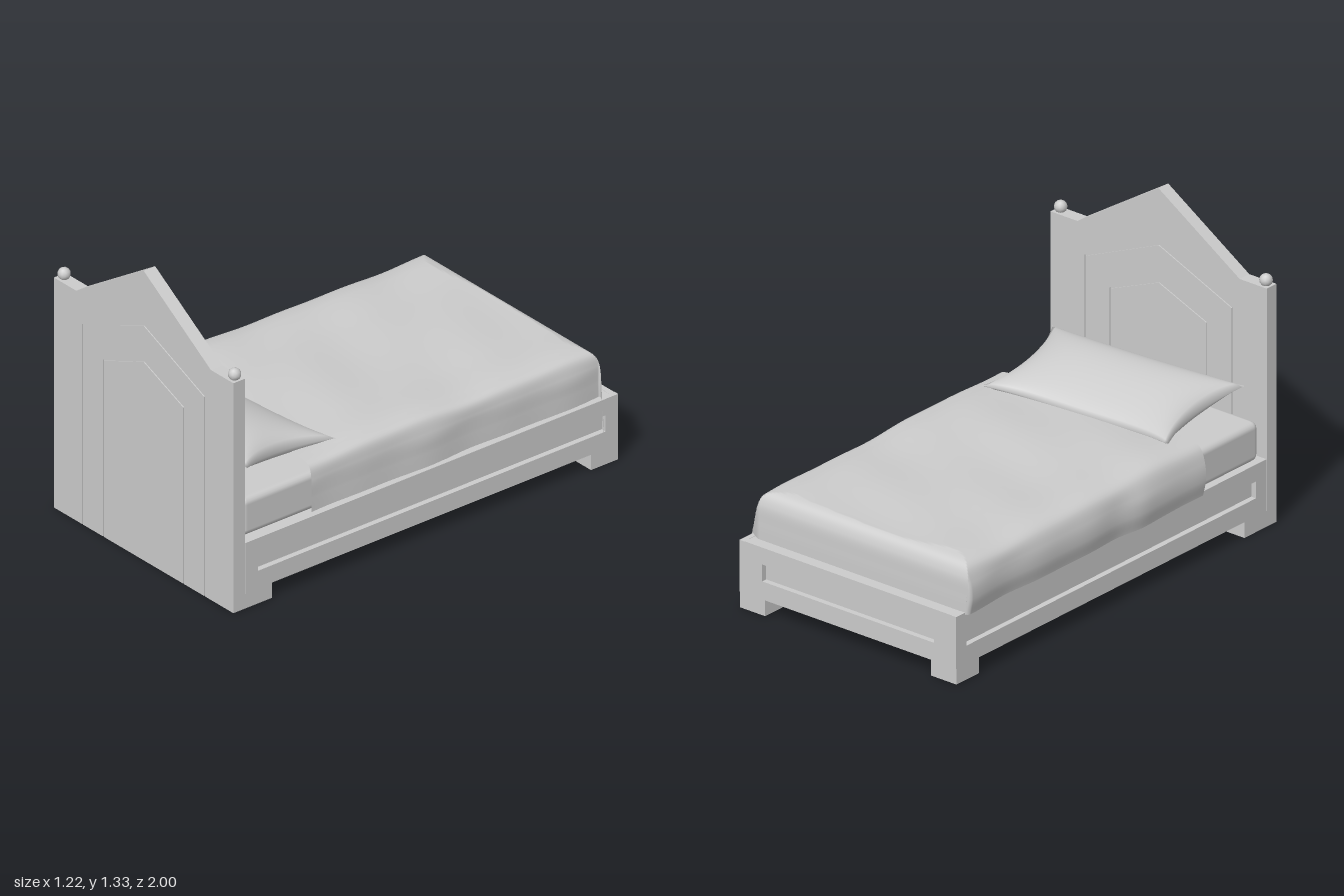
import * as THREE from 'three';
import { RoundedBoxGeometry } from 'three/addons/geometries/RoundedBoxGeometry.js';
import { ParametricGeometry } from 'three/addons/geometries/ParametricGeometry.js';

const mat = new THREE.MeshStandardMaterial({ color: 0xcccccc });
const cloth = new THREE.MeshStandardMaterial({ color: 0xcccccc, side: THREE.DoubleSide });
const CX = -0.005;
const { smoothstep, lerp } = THREE.MathUtils;

function add(parent, name, geometry, x = 0, y = 0, z = 0, material = mat) {
  const mesh = new THREE.Mesh(geometry, material);
  mesh.name = name;
  mesh.position.set(x, y, z);
  parent.add(mesh);
  return mesh;
}

const extrude = (shape, depth) => new THREE.ExtrudeGeometry(shape, { depth, bevelEnabled: false });
const pts = (list) => list.map(([x, y]) => new THREE.Vector2(x, y));
const rect = (w, y0, y1) => pts([[-w / 2, y0], [w / 2, y0], [w / 2, y1], [-w / 2, y1]]);

// Pointed panel outline, open at the floor
const arch = (half, shoulder, peak) =>
  [[-half, 0], [-half, shoulder], [0, peak], [half, shoulder], [half, 0]];

// Headboard: a core slab whose faces are divided by two narrow pointed grooves, plus finials
function headboard() {
  const g = new THREE.Group();
  g.name = 'headboard';
  const outer = [[-0.567, 0], [-0.567, 1.056], [-0.425, 1.056], [0, 1.33], [0.425, 1.056], [0.567, 1.056], [0.567, 0]];
  const ring = (a, b) => new THREE.Shape(pts([...a, ...[...b].reverse()]));
  const depth = 0.005;
  const layers = {
    headboardBorder: ring(outer, arch(0.388, 0.918, 1.083)),
    headboardPanel: ring(arch(0.382, 0.914, 1.077), arch(0.256, 0.813, 0.917)),
    headboardCentre: new THREE.Shape(pts(arch(0.25, 0.809, 0.911))),
  };
  add(g, 'headboardCore', extrude(new THREE.Shape(pts(outer)), 0.06 - 2 * depth), CX, 0, 0.94 + depth);
  for (const [name, shape] of Object.entries(layers)) {
    for (const z of [0.94, 1 - depth]) add(g, name, extrude(shape, depth), CX, 0, z);
  }
  for (const s of [-1, 1]) {
    add(g, 'finial', new THREE.IcosahedronGeometry(0.028, 1), CX + s * 0.538, 1.076, 0.97);
  }
  return g;
}

// Thin rail with a long slot, backed by a strip on the inside; its outer face points to local +z
function rail(name, length, slot, x, z, turn) {
  const g = new THREE.Group();
  g.name = name;
  const face = new THREE.Shape(rect(length, 0.07, 0.3));
  face.holes.push(new THREE.Path(rect(slot, 0.15, 0.225)));
  add(g, name + 'Face', extrude(face, 0.025), 0, 0, -0.025);
  add(g, name + 'Backing', new THREE.BoxGeometry(slot + 0.01, 0.085, 0.01), 0, 0.1875, -0.03);
  g.position.set(x, 0, z);
  g.rotation.y = turn;
  return g;
}

// Hollow square foot, open below
function leg(x, z) {
  const g = new THREE.Group();
  g.name = 'leg';
  const shape = new THREE.Shape(rect(0.132, -0.07, 0.07));
  shape.holes.push(new THREE.Path(rect(0.12, -0.064, 0.064)));
  const tube = extrude(shape, 0.07);
  tube.rotateX(-Math.PI / 2);
  add(g, 'legWalls', tube);
  add(g, 'legTop', new THREE.BoxGeometry(0.13, 0.012, 0.138), 0, 0.069, 0);
  g.position.set(x, 0, z);
  return g;
}

// Blanket: a cross-section swept along the bed, capped by the foot drop
function blanket() {
  const curve = (list) => new THREE.CatmullRomCurve3(list.map(([a, b]) => new THREE.Vector3(a, b, 0)));
  const across = curve([[-0.58, 0.29], [-0.592, 0.36], [-0.585, 0.43], [-0.56, 0.485], [-0.5, 0.508], [-0.25, 0.508],
    [0, 0.508], [0.25, 0.508], [0.44, 0.506], [0.505, 0.49], [0.525, 0.44], [0.53, 0.36], [0.533, 0.29]]);
  const along = curve([[0.55, 0.6], [0.25, 0.6], [-0.05, 0.6], [-0.35, 0.6], [-0.65, 0.57], [-0.85, 0.515],
    [-0.91, 0.495], [-0.937, 0.45], [-0.944, 0.37], [-0.946, 0.29]]);
  const a = new THREE.Vector3(), b = new THREE.Vector3();
  return new ParametricGeometry((u, v, t) => {
    across.getPoint(v, a);
    along.getPoint(u, b);
    const hem = Math.max(0, 1 - u / 0.1) * 0.02 * (2 * v - 1);
    const top = smoothstep(a.y, 0.4, 0.5);
    const wave = 0.005 * Math.sin(b.x * 9 + a.x * 3) + 0.003 * Math.sin(b.x * 17 - a.x * 7);
    const swell = 0.012 * Math.exp(-((b.x - 0.2) ** 2) / 0.12);
    const side = (1 - top) * Math.sign(a.x);
    const bulge = 0.015 * side * Math.exp(-((b.x - 0.12) ** 2) / 0.01) * (v < 0.5 ? 1 : 0);
    // rounded corner on the right, loose corner hanging over the frame on the left
    const foot = smoothstep(u, 0.72, 0.96);
    const tuck = 0.03 * foot * (1 - smoothstep(v, 0, 0.35));
    const k = foot * smoothstep(v, 0.75, 1);
    t.set(
      a.x + side * wave + bulge + tuck + 0.085 * k,
      Math.min(a.y + top * (wave * 0.6 + swell), b.y) - 0.11 * k,
      b.x + hem + 0.06 * k
    );
  }, 80, 60);
}

// Pillow half: bilinear corners, pinched edges, swollen middle
function pillowHalf(sign) {
  return new ParametricGeometry((u, v, t) => {
    const p = sign > 0 ? u : v, q = sign > 0 ? v : u; // p runs in z, q in x
    const s = 2 * q - 1, r = 2 * p - 1;
    let x = lerp(lerp(-0.49, 0.44, q), lerp(-0.46, 0.495, q), p);
    let z = lerp(lerp(0.42, 0.365, q), lerp(0.935, 0.875, q), p);
    x -= s * 0.055 * (1 - r * r);
    z -= r * 0.04 * (1 - s ** 4);
    const y = 0.515 + 0.065 * p + 0.012 * s * s * r * r;
    const puff = Math.pow(Math.max(0, (1 - s ** 4) * (1 - r * r)), 0.52);
    const thickness = sign > 0 ? 0.084 + 0.02 * r : 0.075;
    t.set(x, y + sign * thickness * puff, z);
  }, 40, 40);
}

export function createModel() {
  const bed = new THREE.Group();
  bed.name = 'bed';
  bed.add(headboard());

  // Frame
  const frame = new THREE.Group();
  frame.name = 'frame';
  for (const s of [-1, 1]) frame.add(rail('sideRail', 1.94, 1.81, CX + s * 0.567, -0.032, s * Math.PI / 2));
  frame.add(rail('footRail', 1.132, 0.9, CX, -1, Math.PI));
  frame.add(rail('headRail', 1.132, 0.9, CX, 0.938, 0));
  for (const s of [-1, 1]) for (const z of [-0.93, 0.87]) frame.add(leg(CX + s * 0.501, z));
  add(frame, 'deck', new THREE.BoxGeometry(1.13, 0.02, 1.93), CX, 0.289, -0.032);
  bed.add(frame);

  // Bedding
  add(bed, 'mattress', new RoundedBoxGeometry(1.07, 0.175, 1.84, 2, 0.03), -0.015, 0.3825, 0);
  add(bed, 'blanket', blanket(), 0, 0, 0, cloth);
  const pillow = new THREE.Group();
  pillow.name = 'pillow';
  add(pillow, 'pillowTop', pillowHalf(1), 0, 0, 0, cloth);
  add(pillow, 'pillowBottom', pillowHalf(-1), 0, 0, 0, cloth);
  bed.add(pillow);
  return bed;
}
